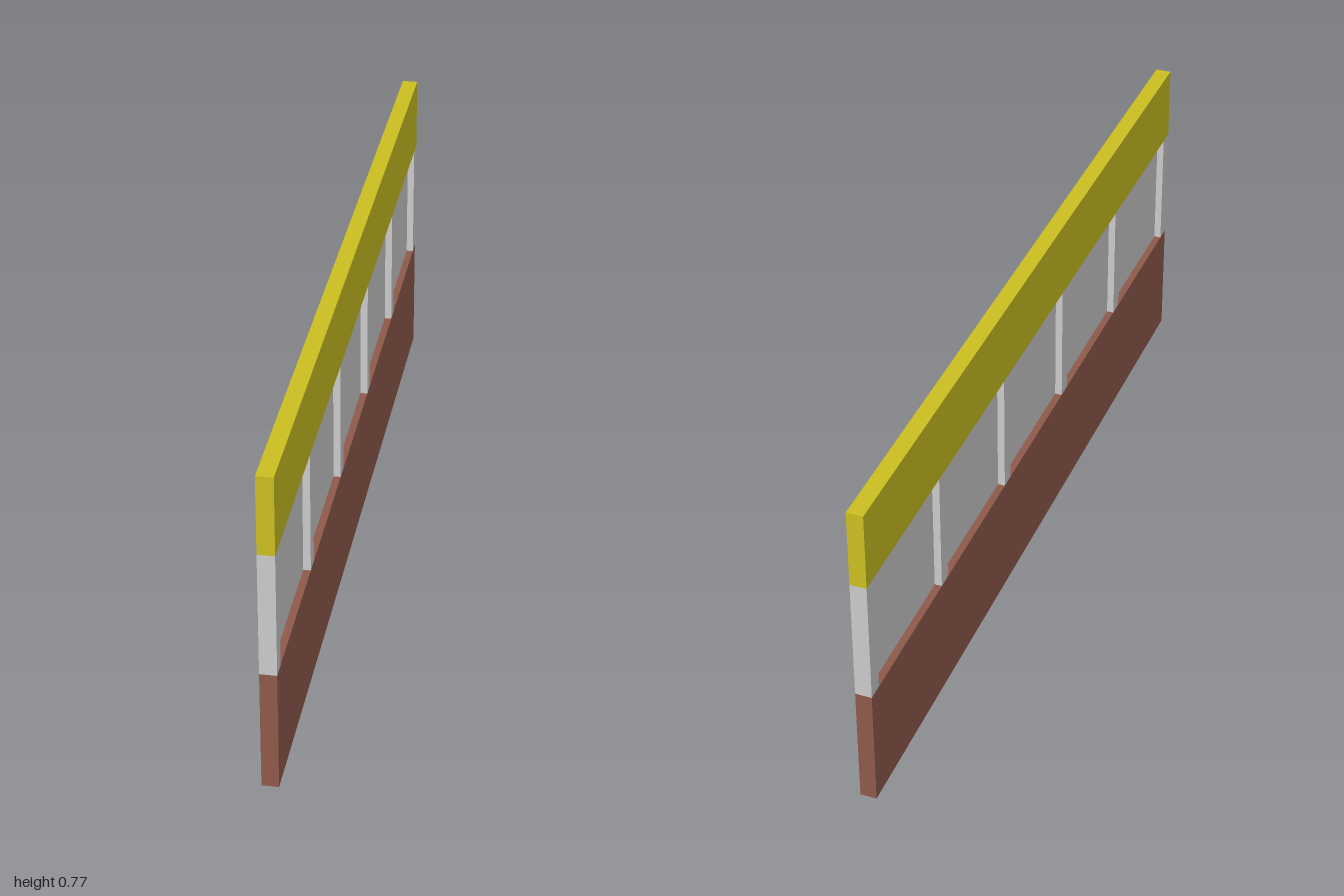
import * as THREE from 'three';

export function createModel() {
  const model = new THREE.Group();
  const material = (name, color) => {
    const m = new THREE.MeshStandardMaterial({ color });
    m.name = name;
    return m;
  };
  const brown = material('brown', 0x8e594a);
  const grey = material('lightGrey', 0xcacaca);
  const yellow = material('yellow', 0xcabe21);

  const depth = 0.038, low = 0.29, high = 0.585, top = 0.77;

  // Box spanning y0..y1, centred on z
  const box = (name, mat, width, y0, y1, length, z = 0) => {
    const mesh = new THREE.Mesh(new THREE.BoxGeometry(width, y1 - y0, length), mat);
    mesh.name = name;
    mesh.position.set(0, (y0 + y1) / 2, z);
    model.add(mesh);
  };

  // Solid bands below and above the openings
  box('lowerWall', brown, depth, 0, low, 2);
  box('upperBand', yellow, depth, high, top, 2);

  // Upright posts, evenly spaced along the wall
  const bays = 5, postWidth = 0.038;
  const pitch = (2 - postWidth) / bays;
  for (let i = 0; i <= bays; i++) {
    box('post', grey, depth, low, high, postWidth, -1 + postWidth / 2 + i * pitch);
  }

  // Thin panels recessed between the posts
  for (let i = 0; i < bays; i++) {
    box('panel', grey, 0.004, low, high, pitch - postWidth, -1 + postWidth / 2 + (i + 0.5) * pitch);
  }

  return model;
}
